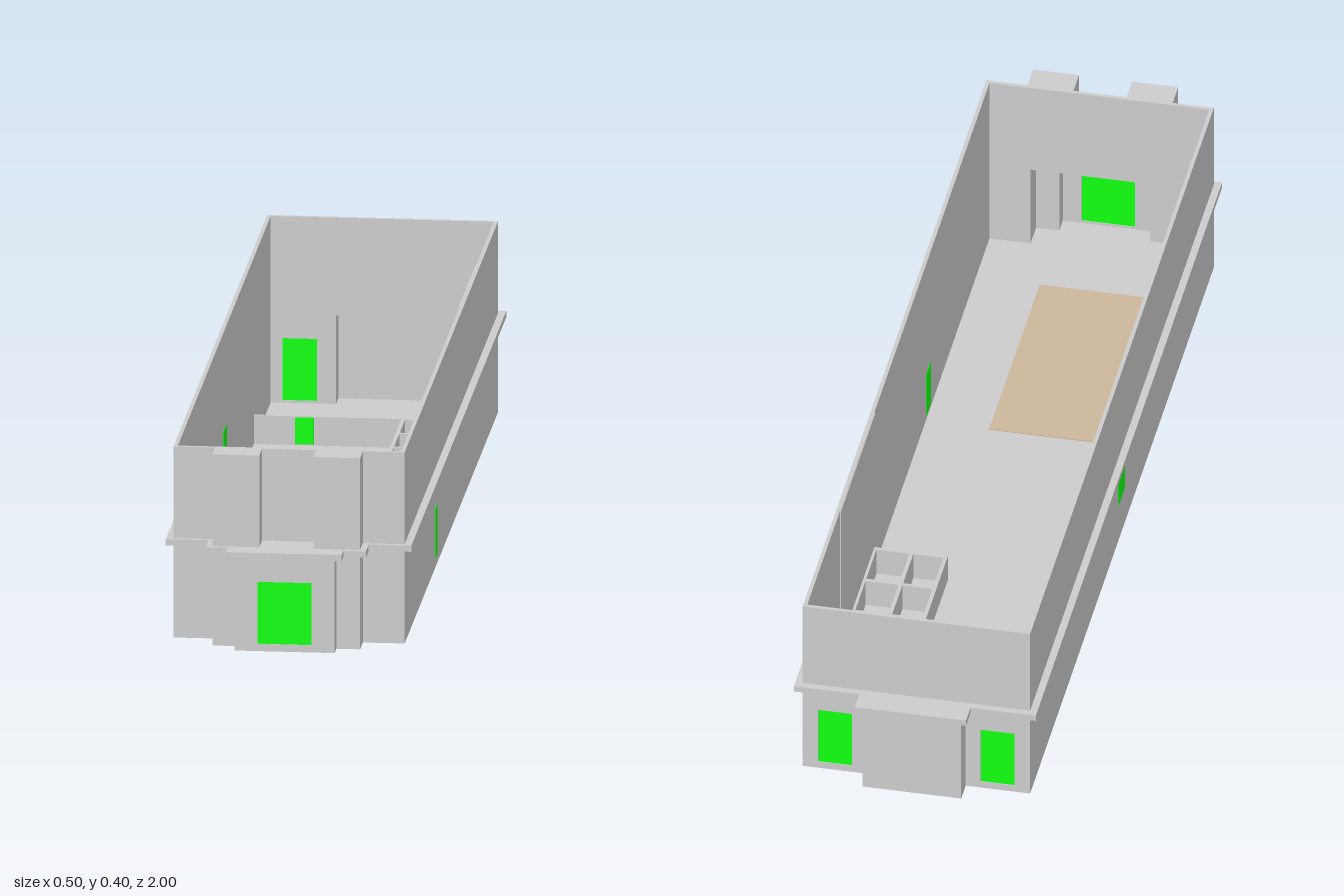
import * as THREE from 'three';

const T = 0.008; // wall thickness
const X = 0.235, ZF = 0.9, ZB = -0.94, H = 0.4, LOW = 0.2;

export function createModel() {
  const model = new THREE.Group();
  const grey = new THREE.MeshStandardMaterial({ color: 0xcccccc });
  const green = new THREE.MeshStandardMaterial({ color: 0x10ff10 });
  const tan = new THREE.MeshStandardMaterial({ color: 0xcbb79b });

  const add = (name, geometry, material = grey) => {
    const mesh = new THREE.Mesh(geometry, material);
    mesh.name = name;
    model.add(mesh);
    return mesh;
  };
  // Box given by its limits on each axis
  const box = (name, x0, x1, y0, y1, z0, z1, material) => {
    const g = new THREE.BoxGeometry(x1 - x0, y1 - y0, z1 - z0);
    g.translate((x0 + x1) / 2, (y0 + y1) / 2, (z0 + z1) / 2);
    return add(name, g, material);
  };
  const rect = (C, x0, x1, y0, y1) => new C([[x0, y0], [x1, y0], [x1, y1], [x0, y1]].map(p => new THREE.Vector2(...p)));
  // Cross wall with a door opening and a recessed door
  const doorWall = (name, x0, x1, d0, d1, z0) => {
    const s = rect(THREE.Shape, x0, x1, 0, LOW);
    s.holes.push(rect(THREE.Path, d0, d1, 0.015, 0.145));
    add(name, new THREE.ExtrudeGeometry(s, { depth: T, bevelEnabled: false }).translate(0, 0, z0));
    box(name + 'Door', d0, d1, 0.015, 0.145, z0 + 0.002, z0 + T - 0.002, green);
  };
  // Horizontal slab from a half outline (x, z), mirrored across x
  const slab = (name, half, y0, y1, hole) => {
    const pts = [...half, ...half.map(([x, z]) => [-x, z]).reverse()];
    const s = new THREE.Shape(pts.map(p => new THREE.Vector2(...p)));
    if (hole) s.holes.push(hole);
    const g = new THREE.ExtrudeGeometry(s, { depth: y1 - y0, bevelEnabled: false });
    add(name, g.rotateX(Math.PI / 2).translate(0, y1, 0));
  };

  // Floor and the ledge that also roofs the end bays
  slab('floor', [[0.102, -0.985], [0.102, ZB], [X, ZB], [X, ZF], [0.15, ZF], [0.15, 0.955], [0.102, 0.955], [0.102, 0.99]], 0, 0.01);
  slab('ledge', [[0.115, -1], [0.115, -0.955], [0.25, -0.955], [0.25, 0.91], [0.163, 0.91], [0.163, 0.965], [0.117, 0.965], [0.117, 1]],
    0.195, 0.208, rect(THREE.Path, -X + T, X - T, ZB + T, ZF - T));

  // Upper end walls above the bay openings
  box('frontUpperWall', -X + T, X - T, LOW, H, ZF - T, ZF);
  box('backUpperWall', -X + T, X - T, LOW, H, ZB, ZB + T);

  for (const s of [1, -1]) {
    const side = s > 0 ? 'left' : 'right';
    const m = (name, a, b, ...rest) => box(side + name, Math.min(s * a, s * b), Math.max(s * a, s * b), ...rest);
    m('SideWall', X - T, X, 0, H, ZB, ZF);
    // Stepped front bay
    m('FrontWall', 0.15 - T, X - T, 0, LOW, ZF - T, ZF);
    m('FrontBayWall', 0.15 - T, 0.15, 0, LOW, ZF, 0.955);
    m('FrontBayFace', 0.102 - T, 0.15 - T, 0, LOW, 0.955 - T, 0.955);
    m('PorchWall', 0.102 - T, 0.102, 0, LOW, 0.955, 0.99 - T);
    m('FrontPillar', 0.055, 0.15, 0.208, H, ZF, 0.955);
    // Back wall with doors, and the back bay
    const flip = (a, b) => s > 0 ? [a, b] : [-b, -a];
    doorWall(side + 'BackWall', ...flip(0.102 - T, X - T), ...flip(0.133, 0.203), ZB);
    m('BackBayWall', 0.102 - T, 0.102, 0, LOW, -0.985, ZB);
  }
  doorWall('porchFront', -0.102, 0.102, -0.055, 0.055, 0.99 - T);
  box('backBayFace', -0.102 + T, 0.102 - T, 0, LOW, -0.985, -0.985 + T);

  // Openings marked on the long walls
  box('leftSideDoor', X - T - 0.001, X + 0.001, 0.02, 0.125, 0.258, 0.3, green);
  box('rightSideWindow', -X - 0.001, -X + T + 0.001, 0.09, 0.194, -0.06, 0.008, green);

  // Low partition with a door
  box('partition', -X + T, 0.075, 0.01, 0.07, -0.607, -0.601);
  box('partitionDoor', -0.143, -0.105, 0.012, 0.068, -0.609, -0.599, green);

  // Two by three block of low stalls against the left wall
  for (const x of [0.073, 0.143, 0.219]) box('stallDivider', x, x + 0.008, 0.01, 0.07, -0.605, -0.27);
  for (let i = 0; i < 4; i++) {
    const z = -0.605 + i * 0.109;
    box('stallCrossWall', 0.075, 0.225, 0.01, 0.0695, z, z + 0.008);
  }
  box('wallPanel', 0.225, 0.228, 0.01, H - 0.001, -0.605, -0.26);

  // Floor mat
  box('floorMat', -X + T, 0.095, 0.01, 0.012, 0.25, 0.755, tan);
  return model;
}
